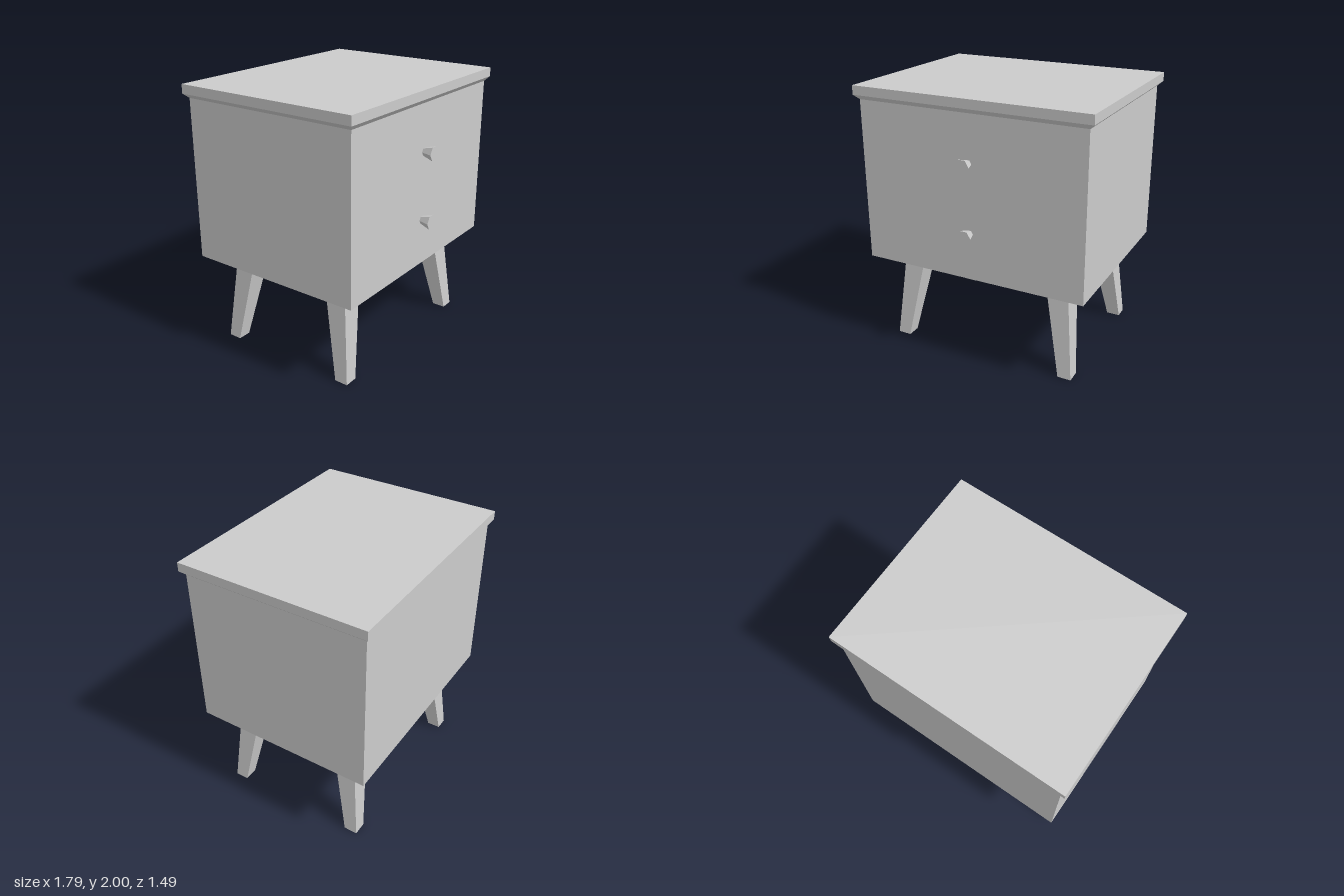
import * as THREE from 'three';

const material = new THREE.MeshStandardMaterial({ color: 0xcccccc, flatShading: true });
const CENTER_Z = -0.025; // cabinet centre; the knobs stick out in front

// Box whose bottom and top are separate rectangles [x0, x1, z0, z1]
function taperedBox(name, y0, y1, bottom, top) {
  const geometry = new THREE.BoxGeometry(1, 1, 1);
  const p = geometry.attributes.position;
  for (let i = 0; i < p.count; i++) {
    const upper = p.getY(i) > 0;
    const r = upper ? top : bottom;
    p.setXYZ(i, p.getX(i) < 0 ? r[0] : r[1], upper ? y1 : y0, p.getZ(i) < 0 ? r[2] : r[3]);
  }
  geometry.computeVertexNormals();
  const mesh = new THREE.Mesh(geometry, material);
  mesh.name = name;
  return mesh;
}

// Rectangle centred on the cabinet
const centred = (hx, hz) => [-hx, hx, CENTER_Z - hz, CENTER_Z + hz];

// Rectangle for one leg end, mirrored into the corner given by sx, sz
function corner(sx, sz, x0, x1, z0, z1) {
  const xs = [sx * x0, sx * x1].sort((a, b) => a - b);
  const zs = [CENTER_Z + sz * z0, CENTER_Z + sz * z1].sort((a, b) => a - b);
  return [...xs, ...zs];
}

export function createModel() {
  const model = new THREE.Group();
  model.name = 'nightstand';

  // Cabinet and overhanging top with a chamfered underside
  const body = centred(0.86, 0.69);
  const slab = centred(0.897, 0.718);
  model.add(taperedBox('cabinet', 0.695, 1.9, body, body));
  model.add(taperedBox('topChamfer', 1.9, 1.933, body, slab));
  model.add(taperedBox('tableTop', 1.933, 2, slab, slab));

  // Splayed, tapered legs
  for (const sx of [-1, 1]) {
    for (const sz of [-1, 1]) {
      const name = (sz > 0 ? 'front' : 'back') + (sx > 0 ? 'Left' : 'Right') + 'Leg';
      model.add(taperedBox(name, 0, 0.695,
        corner(sx, sz, 0.638, 0.74, 0.467, 0.569),
        corner(sx, sz, 0.502, 0.672, 0.331, 0.501)));
    }
  }

  // Hexagonal knobs flaring towards the front
  const knobGeometry = new THREE.CylinderGeometry(0.056, 0.03, 0.08, 6);
  knobGeometry.rotateY(Math.PI / 2).rotateX(Math.PI / 2);
  [['upperKnob', 1.553], ['lowerKnob', 1.043]].forEach(([name, y]) => {
    const knob = new THREE.Mesh(knobGeometry, material);
    knob.name = name;
    knob.position.set(0, y, 0.705);
    model.add(knob);
  });

  return model;
}
